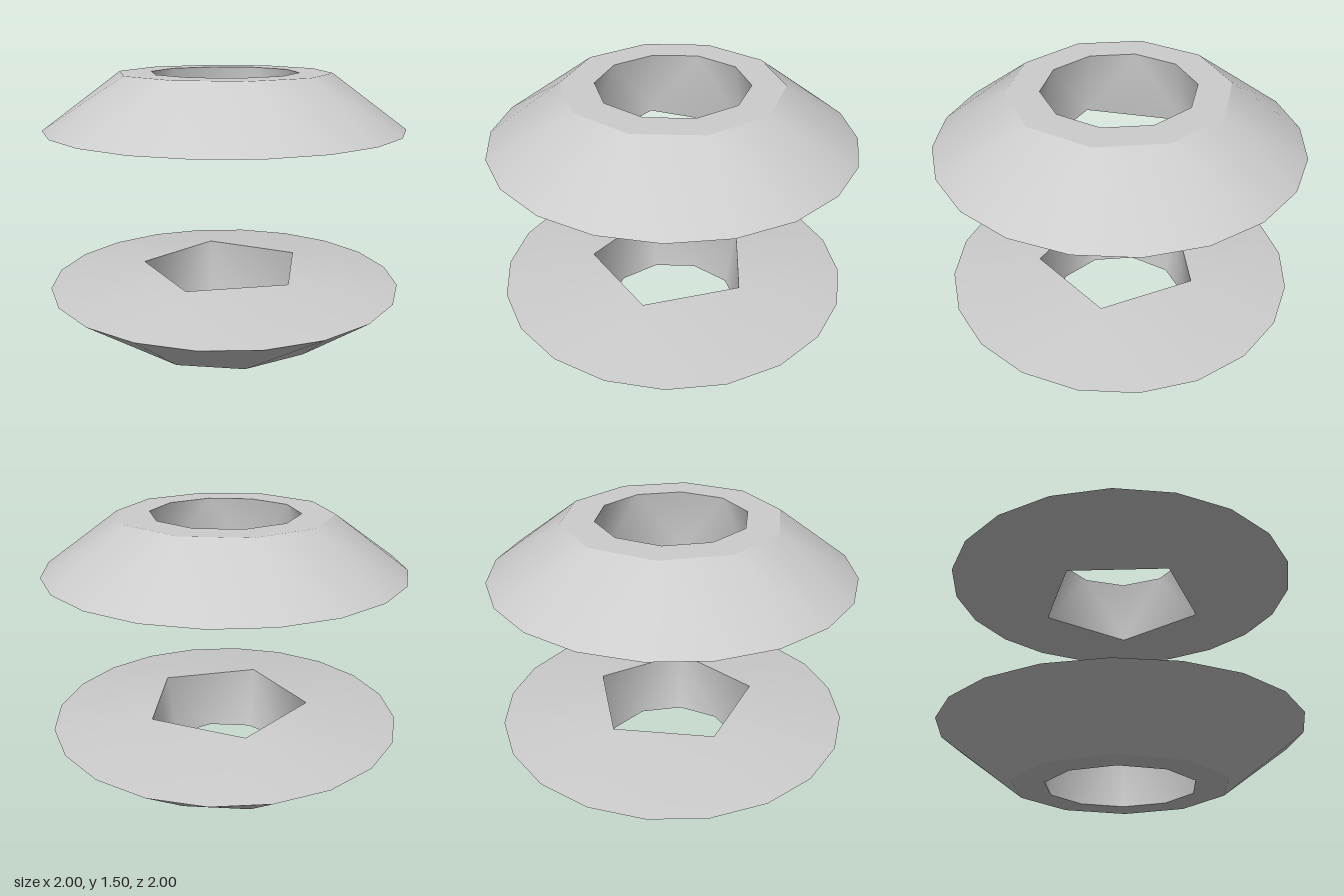
import * as THREE from 'three';

const grey = new THREE.MeshStandardMaterial({ color: 0xcccccc });
grey.name = 'grey';

// Cross-section rings: number of sides, radius, height
const RIM = { n: 20, r: 1, y: 0.3 };
const OUTER_EDGE = { n: 10, r: 0.593, y: 0 };
const INNER_EDGE = { n: 10, r: 0.412, y: 0 };
const PENTAGON = { n: 5, r: 0.48, y: 0.377 };

// Smooth band joining two rings that may have different side counts
function band(name, low, high) {
  const pos = [];
  const index = [];
  for (const { n, r, y } of [low, high]) {
    for (let i = 0; i < n; i++) {
      const a = (i / n) * Math.PI * 2;
      pos.push(r * Math.sin(a), y, r * Math.cos(a));
    }
  }
  let i = 0;
  let j = 0;
  const lo = (k) => k % low.n;
  const hi = (k) => low.n + (k % high.n);
  while (i < low.n || j < high.n) {
    const stepLow = (i + 0.5) / low.n <= (j + 0.5) / high.n;
    if (j >= high.n || (i < low.n && stepLow)) {
      index.push(lo(i), lo(i + 1), hi(j));
      i++;
    } else {
      index.push(lo(i), hi(j + 1), hi(j));
      j++;
    }
  }
  const geometry = new THREE.BufferGeometry();
  geometry.setAttribute('position', new THREE.Float32BufferAttribute(pos, 3));
  geometry.setIndex(index);
  geometry.computeVertexNormals();
  const mesh = new THREE.Mesh(geometry, grey);
  mesh.name = name;
  return mesh;
}

// One ring: sloped outside, flat decagonal end, pentagonal bore on the other face
function makeRing(name, upper) {
  const at = (s) => ({ ...s, y: upper ? 1.5 - s.y : s.y });
  const join = (part, a, b) => (upper ? band(part, at(a), at(b)) : band(part, at(b), at(a)));
  const ring = new THREE.Group();
  ring.name = name;
  ring.add(
    join('innerFace', PENTAGON, RIM),
    join('slopedSide', RIM, OUTER_EDGE),
    join('flatEnd', OUTER_EDGE, INNER_EDGE),
    join('boreWall', INNER_EDGE, PENTAGON),
  );
  return ring;
}

export function createModel() {
  const model = new THREE.Group();
  model.name = 'ringPair';
  model.add(makeRing('lowerRing', false), makeRing('upperRing', true));
  return model;
}
